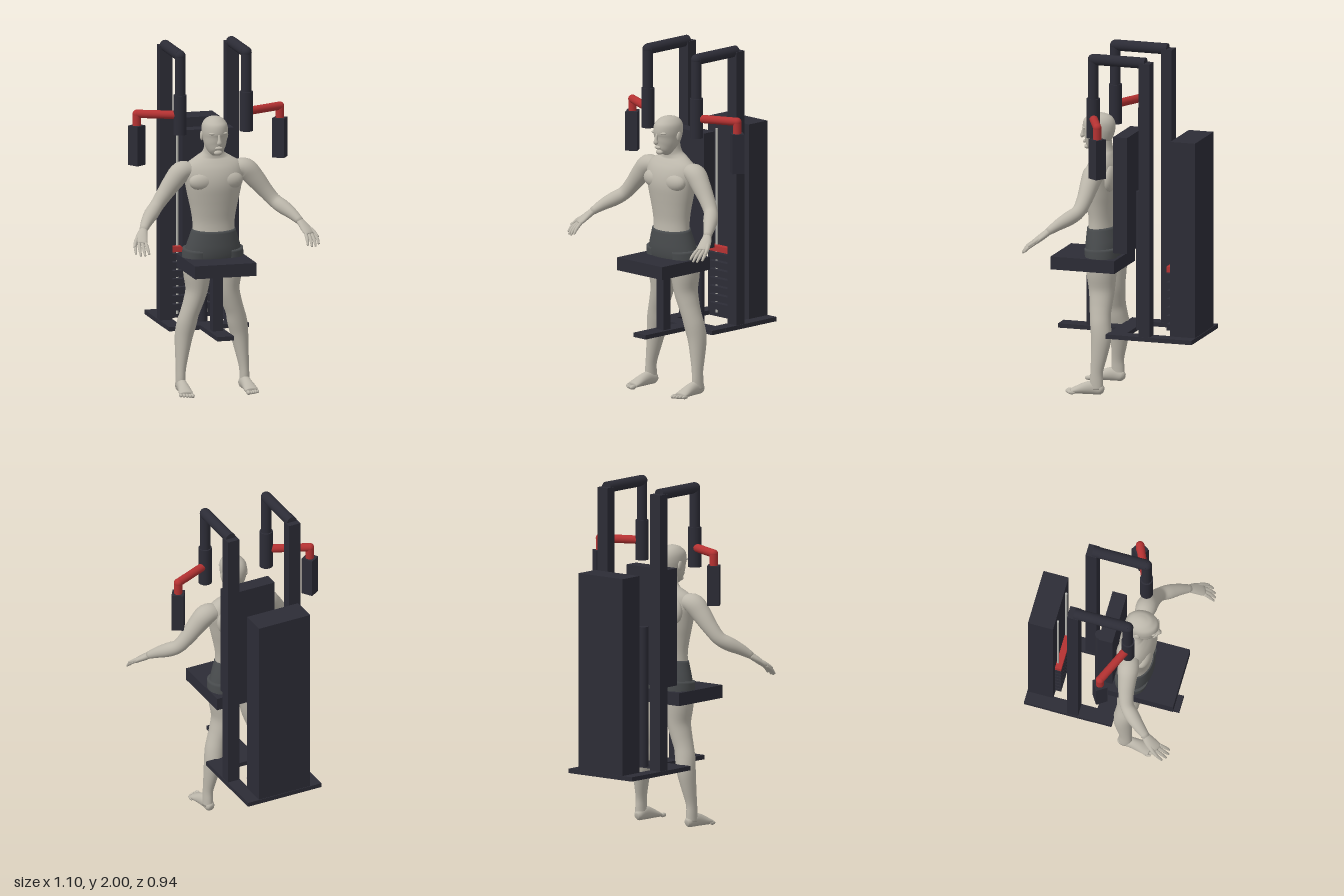
import * as THREE from 'three';

const V = (x, y, z) => new THREE.Vector3(x, y, z);

export function createModel() {
  const root = new THREE.Group();
  root.name = 'shoulderMachineWithFigure';
  const mat = (name, color) => {
    const m = new THREE.MeshStandardMaterial({ color });
    m.name = name;
    return m;
  };
  const frame = mat('darkFrame', 0x2c2c36);
  const red = mat('redSteel', 0xb53232);
  const skin = mat('greySkin', 0xbcb7ab);
  const cloth = mat('shortsCloth', 0x484b4d);
  const steel = mat('paleSteel', 0xb4b4ae);

  const add = (name, geo, m, parent = root) => {
    const mesh = new THREE.Mesh(geo, m);
    mesh.name = name;
    parent.add(mesh);
    return mesh;
  };
  // box from its limits on each axis
  const box = (name, m, x0, x1, y0, y1, z0, z1) => {
    const b = add(name, new THREE.BoxGeometry(x1 - x0, y1 - y0, z1 - z0), m);
    b.position.set((x0 + x1) / 2, (y0 + y1) / 2, (z0 + z1) / 2);
    return b;
  };
  // round bar between two points
  const bar = (name, m, a, b, r) => {
    const c = add(name, new THREE.CylinderGeometry(r, r, a.distanceTo(b), 24), m);
    c.position.copy(a).lerp(b, 0.5);
    c.quaternion.setFromUnitVectors(V(0, 1, 0), b.clone().sub(a).normalize());
    return c;
  };
  const ball = (name, m, p, rx, ry = rx, rz = rx) => {
    const s = add(name, new THREE.SphereGeometry(1, 24, 16), m);
    s.position.copy(p);
    s.scale.set(rx, ry, rz);
    return s;
  };
  // smooth closed skin through elliptical sections [x, y, z, radiusU, radiusV]
  const loft = (name, m, secs, ref, side = 1, n = 24, sub = 4) => {
    const path = new THREE.CatmullRomCurve3(secs.map(s => V(s[0] * side, s[1], s[2])), false, 'catmullrom');
    const size = new THREE.CatmullRomCurve3(secs.map(s => V(s[3], s[4], 0)), false, 'catmullrom');
    const rows = (secs.length - 1) * sub, pos = [], idx = [];
    for (let i = -1; i <= rows + 1; i++) {
      const t = THREE.MathUtils.clamp(i / rows, 0, 1);
      const c = path.getPoint(t), r = size.getPoint(t), d = path.getTangent(t);
      const u = ref.clone().cross(d).normalize(), v = d.clone().cross(u);
      const k = i < 0 || i > rows ? 0 : 1; // end rows close to a point
      for (let j = 0; j < n; j++) {
        const a = (j / n) * Math.PI * 2;
        const p = c.clone().addScaledVector(u, k * r.x * Math.cos(a)).addScaledVector(v, k * r.y * Math.sin(a));
        pos.push(p.x, p.y, p.z);
      }
    }
    for (let i = 0; i < rows + 2; i++) for (let j = 0; j < n; j++) {
      const a = i * n + j, b = i * n + (j + 1) % n;
      idx.push(a, b, a + n, b, b + n, a + n);
    }
    const g = new THREE.BufferGeometry();
    g.setAttribute('position', new THREE.Float32BufferAttribute(pos, 3));
    g.setIndex(idx);
    g.computeVertexNormals();
    return add(name, g, m);
  };
  const Y = V(0, 1, 0), Z = V(0, 0, 1);

  // base frame and weight tower
  box('baseRear', frame, -0.237, 0.237, 0.345, 0.37, -0.47, -0.317);
  box('baseCrossbar', frame, -0.237, 0.237, 0.345, 0.37, -0.055, 0.05);
  box('baseFoot', frame, -0.05, 0.05, 0.345, 0.37, 0.05, 0.4);
  box('weightTower', frame, -0.165, 0.165, 0.37, 1.51, -0.466, -0.317);

  // weight stack and its guide rods
  for (let i = 0; i < 7; i++) {
    const y = 0.395 + i * 0.049;
    box('weightPlate', frame, -0.125, 0.125, y, y + 0.036, -0.317, -0.28);
  }
  box('topPlate', red, -0.125, 0.125, 0.735, 0.768, -0.317, -0.28);

  // seat, backrest and their posts
  box('seat', frame, -0.183, 0.183, 0.715, 0.79, 0.015, 0.4);
  box('seatPost', frame, -0.03, 0.03, 0.37, 0.715, 0.18, 0.235);
  box('backrest', frame, -0.153, 0.153, 0.83, 1.51, -0.052, 0.032);
  bar('backPost', frame, V(0, 0.36, -0.085), V(0, 1.17, -0.085), 0.028);

  for (const s of [1, -1]) {
    // side frames
    const x = 0.197 * s;
    box('baseRail', frame, x - 0.041, x + 0.041, 0.345, 0.37, -0.317, -0.055);
    box('upright', frame, x - 0.037, x + 0.037, 0.37, 1.97, -0.215, -0.15);
    bar('guideRod', steel, V(0.088 * s, 0.37, -0.309), V(0.088 * s, 1.45, -0.309), 0.007);
    bar('topTube', frame, V(x, 1.968, -0.18), V(x, 1.968, 0.137), 0.032);
    ball('topElbow', frame, V(x, 1.968, 0.137), 0.031);
    bar('dropTube', frame, V(x, 1.968, 0.137), V(x, 1.73, 0.137), 0.03);
    bar('pivotSleeve', frame, V(x, 1.51, 0.137), V(x, 1.74, 0.137), 0.038);
    // swinging arm and pad
    const joint = V(0.425 * s, 1.623, 0.035);
    bar('swingArm', red, V(x, 1.623, 0.137), joint, 0.024);
    ball('swingElbow', red, joint, 0.0245);
    bar('padStem', red, joint, V(joint.x, 1.54, joint.z), 0.024);
    const pad = add('armPad', new THREE.BoxGeometry(0.07, 0.23, 0.07), frame);
    pad.position.set(joint.x, 1.44, joint.z);
    pad.rotation.y = -0.58 * s;
  }

  // torso and neck
  loft('torso', skin, [
    [0, 0.92, 0.143, 0.124, 0.083], [0, 1.0, 0.142, 0.124, 0.08], [0, 1.08, 0.143, 0.137, 0.088],
    [0, 1.15, 0.143, 0.153, 0.098], [0, 1.22, 0.143, 0.167, 0.105], [0, 1.28, 0.138, 0.178, 0.098],
    [0, 1.33, 0.132, 0.165, 0.079], [0, 1.365, 0.131, 0.115, 0.061], [0, 1.39, 0.135, 0.072, 0.052],
    [0, 1.42, 0.141, 0.056, 0.05], [0, 1.48, 0.15, 0.053, 0.05]], Z, 1, 36);

  // head
  loft('head', skin, [
    [0, 1.398, 0.212, 0.024, 0.03], [0, 1.415, 0.203, 0.043, 0.05], [0, 1.45, 0.187, 0.061, 0.073],
    [0, 1.49, 0.174, 0.069, 0.089], [0, 1.53, 0.169, 0.074, 0.096], [0, 1.57, 0.166, 0.069, 0.089],
    [0, 1.6, 0.166, 0.045, 0.058], [0, 1.613, 0.166, 0.012, 0.016]], Z, 1, 32);
  loft('nose', skin, [
    [0, 1.52, 0.258, 0.007, 0.007], [0, 1.49, 0.266, 0.009, 0.011],
    [0, 1.472, 0.268, 0.015, 0.014], [0, 1.464, 0.262, 0.01, 0.009]], Z, 1, 12);
  ball('lips', skin, V(0, 1.44, 0.254), 0.023, 0.01, 0.011);
  ball('chin', skin, V(0, 1.411, 0.239), 0.024, 0.015, 0.017);

  // shorts
  loft('shorts', cloth, [
    [0, 0.955, 0.144, 0.127, 0.087], [0, 0.9, 0.139, 0.145, 0.097], [0, 0.85, 0.134, 0.16, 0.104],
    [0, 0.8, 0.13, 0.172, 0.101], [0, 0.755, 0.125, 0.165, 0.085]], Z, 1, 36);

  for (const s of [1, -1]) {
    // face and chest forms
    ball('brow', skin, V(0.03 * s, 1.525, 0.243), 0.025, 0.009, 0.016);
    ball('ear', skin, V(0.074 * s, 1.5, 0.155), 0.009, 0.028, 0.018);
    ball('chestMuscle', skin, V(0.078 * s, 1.24, 0.196), 0.081, 0.055, 0.047);
    ball('shoulderBlade', skin, V(0.085 * s, 1.25, 0.077), 0.065, 0.08, 0.036);

    // leg
    loft('shortsLeg', cloth, [
      [0.09, 0.84, 0.128, 0.086, 0.095], [0.091, 0.79, 0.125, 0.088, 0.094],
      [0.092, 0.735, 0.123, 0.085, 0.091]], Z, s);
    loft('leg', skin, [
      [0.09, 0.8, 0.125, 0.083, 0.088], [0.092, 0.7, 0.123, 0.08, 0.087], [0.094, 0.6, 0.12, 0.064, 0.076],
      [0.115, 0.52, 0.118, 0.057, 0.067], [0.135, 0.46, 0.115, 0.054, 0.061], [0.15, 0.4, 0.108, 0.057, 0.06],
      [0.164, 0.33, 0.1, 0.052, 0.059], [0.176, 0.24, 0.107, 0.041, 0.049], [0.187, 0.14, 0.119, 0.029, 0.037],
      [0.19, 0.08, 0.12, 0.028, 0.039], [0.19, 0.035, 0.117, 0.029, 0.038]], Z, s);
    loft('foot', skin, [
      [0.186, 0.03, 0.078, 0.015, 0.016], [0.187, 0.034, 0.095, 0.027, 0.031], [0.188, 0.043, 0.14, 0.03, 0.04],
      [0.19, 0.036, 0.19, 0.034, 0.034], [0.193, 0.024, 0.24, 0.04, 0.022], [0.195, 0.017, 0.268, 0.039, 0.015]], Y, s);
    for (let i = 0; i < 5; i++) {
      ball('toe', skin, V((0.166 + i * 0.0155) * s, 0.013, 0.288 - i * i * 0.0018),
        i ? 0.008 : 0.012, i ? 0.011 : 0.013, 0.023);
    }

    // arm
    loft('arm', skin, [
      [0.13, 1.3, 0.135, 0.05, 0.045], [0.19, 1.292, 0.138, 0.061, 0.06], [0.24, 1.24, 0.145, 0.054, 0.057],
      [0.3, 1.165, 0.155, 0.045, 0.046], [0.35, 1.105, 0.174, 0.04, 0.04], [0.39, 1.072, 0.215, 0.042, 0.041],
      [0.43, 1.04, 0.265, 0.034, 0.033], [0.468, 1.0, 0.32, 0.023, 0.021]], Y, s);
    // hand
    loft('palm', skin, [
      [0.463, 1.005, 0.312, 0.023, 0.02], [0.482, 0.978, 0.345, 0.033, 0.019],
      [0.498, 0.95, 0.38, 0.038, 0.016], [0.505, 0.938, 0.393, 0.034, 0.012]], Y, s);
    for (let i = 0; i < 4; i++) {
      const k = i - 1.5, reach = 1 - 0.07 * k * k;
      const bx = 0.503 + k * 0.018, bz = 0.389 - k * 0.008;
      loft('finger', skin, [
        [bx, 0.943, bz, 0.01, 0.01],
        [bx + k * 0.004 + 0.004, 0.943 - 0.032 * reach, bz + 0.042 * reach, 0.0095, 0.0095],
        [bx + k * 0.006 + 0.004, 0.943 - 0.064 * reach, bz + 0.07 * reach, 0.006, 0.006]], Y, s, 10);
    }
    loft('thumb', skin, [
      [0.497, 0.975, 0.343, 0.014, 0.013], [0.526, 0.952, 0.375, 0.012, 0.012],
      [0.545, 0.925, 0.412, 0.007, 0.007]], Y, s, 10);
  }
  return root;
}
